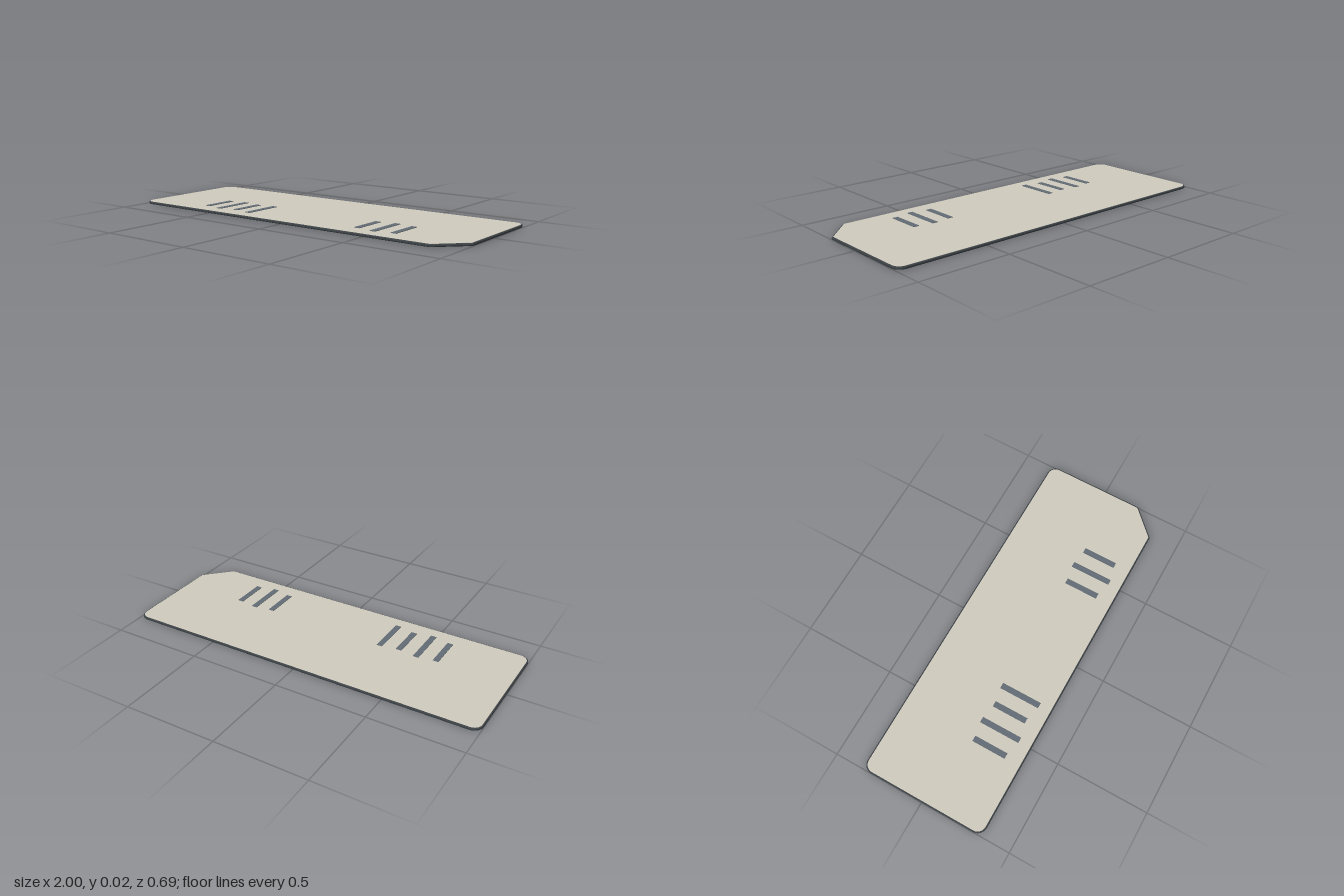
import * as THREE from 'three';

const HALF_W = 1, HALF_D = 0.346;

// Plate outline in plan (shape y = -z): three rounded corners, one clipped at the front left
function outline(inset) {
  const w = HALF_W - inset, d = HALF_D - inset, r = 0.052 - inset;
  const cut = 0.14 - inset * 0.59;
  const s = new THREE.Shape();
  s.moveTo(-w + r, -d);
  s.lineTo(w - cut, -d);
  s.lineTo(w, -d + cut);
  s.lineTo(w, d - r);
  s.absarc(w - r, d - r, r, 0, Math.PI / 2);
  s.lineTo(-w + r, d);
  s.absarc(-w + r, d - r, r, Math.PI / 2, Math.PI);
  s.lineTo(-w, -d + r);
  s.absarc(-w + r, -d + r, r, Math.PI, Math.PI * 1.5);
  return s;
}

// Flat slab between two heights with softly rounded edges
function slab(name, inset, y0, y1, bevel, color) {
  const geo = new THREE.ExtrudeGeometry(outline(inset), {
    depth: y1 - y0 - 2 * bevel, curveSegments: 10,
    bevelThickness: bevel, bevelSize: bevel, bevelOffset: -bevel, bevelSegments: 3,
  });
  geo.rotateX(-Math.PI / 2);
  geo.translate(0, y0 + bevel, 0);
  const mesh = new THREE.Mesh(geo, new THREE.MeshStandardMaterial({ color }));
  mesh.name = name;
  return mesh;
}

export function createModel() {
  const group = new THREE.Group();
  group.name = 'plate';

  // Dark backing and pale face panel
  group.add(slab('backing', 0, 0, 0.014, 0.005, 0x3c4246));
  group.add(slab('facePanel', 0.007, 0.011, 0.016, 0.001, 0xd2cdbf));

  // Raised bars: a group of four and a group of three, alternating short and long
  const barMaterial = new THREE.MeshStandardMaterial({ color: 0x646e76 });
  for (const [name, startX, count] of [['rightBars', -0.595, 4], ['leftBars', 0.404, 3]]) {
    const bars = new THREE.Group();
    bars.name = name;
    for (let i = 0; i < count; i++) {
      const length = i % 2 ? 0.223 : 0.187;
      const bar = new THREE.Mesh(new THREE.BoxGeometry(0.031, 0.004, length), barMaterial);
      bar.name = 'bar';
      bar.position.set(startX + i * 0.104, 0.0165, i % 2 ? 0.163 : 0.16);
      bars.add(bar);
    }
    group.add(bars);
  }
  return group;
}
